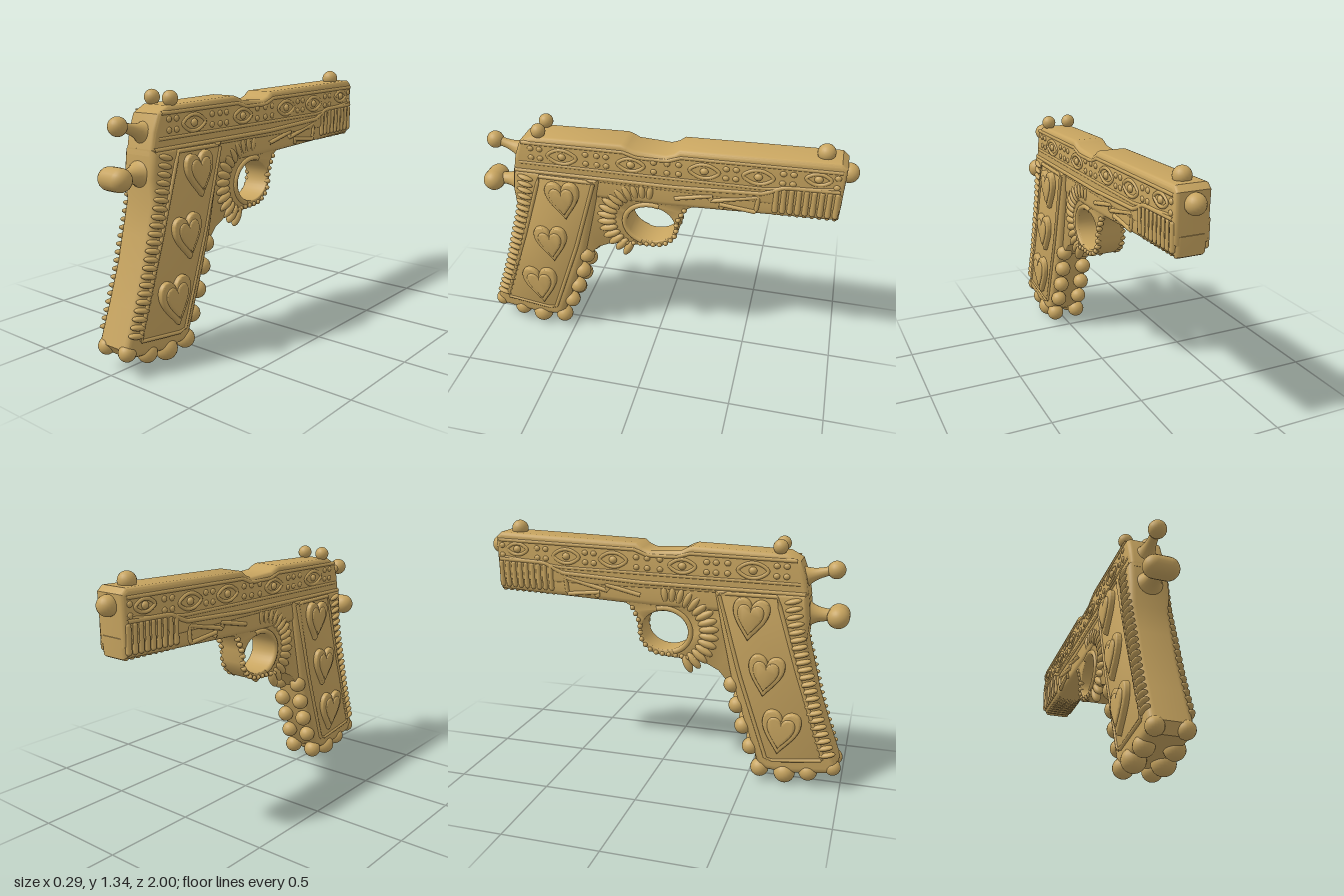
import * as THREE from 'three';
import { toCreasedNormals } from 'three/addons/utils/BufferGeometryUtils.js';

const material = new THREE.MeshStandardMaterial({ color: 0xc8a560 });
const V = (x, y, z) => new THREE.Vector3(x, y, z);
const SIDES = [1, -1];

export function createModel() {
  const model = new THREE.Group();
  const ball = new THREE.SphereGeometry(1, 20, 14);

  const add = (name, geometry, parent = model) => {
    const mesh = new THREE.Mesh(geometry, material);
    mesh.name = name;
    parent.add(mesh);
    return mesh;
  };
  const group = (name) => {
    const g = new THREE.Group();
    g.name = name;
    model.add(g);
    return g;
  };
  const blob = (name, x, y, z, rx, ry = rx, rz = rx, parent = model) => {
    const mesh = add(name, ball, parent);
    mesh.position.set(x, y, z);
    mesh.scale.set(rx, ry, rz);
    return mesh;
  };
  const makeShape = (pts) => new THREE.Shape(pts.map(([z, y]) => new THREE.Vector2(z, y)));

  // Side profile in (z, y), extruded symmetrically across x with rounded edges
  const plate = (name, shape, half, bevel, parent = model) => {
    const geometry = new THREE.ExtrudeGeometry(shape, {
      depth: 2 * (half - bevel), bevelEnabled: true, bevelThickness: bevel,
      bevelSize: bevel, bevelOffset: -bevel, bevelSegments: 4, curveSegments: 20,
    });
    geometry.translate(0, 0, -(half - bevel));
    geometry.rotateY(-Math.PI / 2);
    return add(name, toCreasedNormals(geometry, 0.7), parent);
  };
  // Raised line following (z, y) points on both flanks
  const line = (name, pts, x, radius, closed = false, smooth = false, parent = model) => {
    for (const s of SIDES) {
      const p = pts.map(([z, y]) => V(s * x, y, z));
      let curve;
      if (smooth) curve = new THREE.CatmullRomCurve3(p, closed);
      else {
        curve = new THREE.CurvePath();
        const n = closed ? p.length : p.length - 1;
        for (let i = 0; i < n; i++) curve.add(new THREE.LineCurve3(p[i], p[(i + 1) % p.length]));
      }
      add(name, new THREE.TubeGeometry(curve, 48, radius, 8, closed), parent);
    }
  };
  const splineAt = (pts, n) => new THREE.SplineCurve(pts.map(([z, y]) => new THREE.Vector2(z, y))).getSpacedPoints(n - 1);

  // Upper slide with the dip on top
  plate('slide', makeShape([
    [0.785, 1.02], [0.765, 1.13], [0.735, 1.21], [0.67, 1.245], [0.18, 1.26], [0.15, 1.25], [0.12, 1.234],
    [-0.05, 1.225], [-0.09, 1.24], [-0.12, 1.264], [-0.91, 1.286], [-0.94, 1.26], [-0.932, 1.02],
  ]), 0.09, 0.022);
  // Lower frame
  plate('frame', makeShape([
    [0.7, 1.07], [-0.9, 1.09], [-0.935, 1.06], [-0.93, 0.965], [-0.6, 0.95], [-0.2, 0.932], [-0.05, 0.925],
    [0.35, 0.92], [0.7, 0.92],
  ]), 0.084, 0.03);

  // Guard loop blending back into the grip
  const guard = makeShape([
    [-0.22, 0.95], [-0.17, 0.925], [-0.135, 0.89], [-0.12, 0.84], [-0.118, 0.77], [-0.09, 0.71], [-0.04, 0.67],
    [0.02, 0.655], [0.11, 0.65], [0.25, 0.64], [0.33, 0.6], [0.41, 0.51], [0.5, 0.5], [0.5, 1.0], [0, 1.0],
  ]);
  guard.holes.push(new THREE.Path().absellipse(0.03, 0.797, 0.13, 0.108, 0, Math.PI * 2, true));
  plate('guard', guard, 0.075, 0.006);

  // Petals fanned round the rear of the guard opening
  const petals = group('guardPetals');
  for (let i = 0; i < 15; i++) {
    const a = -1.1 + i * 0.2;
    for (const s of SIDES) {
      const petal = blob('petal', s * 0.068, 0.8 + Math.sin(a) * 0.2, 0.06 + Math.cos(a) * 0.215, 0.026, 0.022, 0.055, petals);
      petal.rotation.x = -a;
    }
  }
  const arc = (r, k) => Array.from({ length: 12 }, (_, i) => {
    const a = -1.2 + i * 0.28;
    return [0.03 + k + Math.cos(a) * r, 0.797 + Math.sin(a) * r * 0.85];
  });
  line('openingRim', arc(0.145, 0), 0.072, 0.015, false, true, petals);
  // Scalloped edge on the front and bottom of the guard
  for (const p of splineAt([[-0.15, 0.91], [-0.112, 0.83], [-0.1, 0.74], [-0.03, 0.675], [0.1, 0.663], [0.2, 0.655]], 15))
    for (const s of SIDES) blob('guardScallop', s * 0.07, p.y, p.x, 0.018, 0.014, 0.014, petals);

  // Grip body and side panels
  plate('grip', makeShape([
    [0.78, 1.05], [0.3, 1.05], [0.34, 0.85], [0.4, 0.58], [0.45, 0.42], [0.56, 0.1], [0.6, 0.07], [0.72, 0.06],
    [0.95, 0.09], [0.985, 0.14], [0.92, 0.32], [0.86, 0.5], [0.825, 0.64], [0.785, 0.8], [0.795, 0.92],
  ]), 0.105, 0.035);
  const panel = [[0.63, 1.03], [0.33, 1.03], [0.45, 0.6], [0.61, 0.13], [0.91, 0.17], [0.75, 0.64]];
  plate('gripPanel', makeShape(panel), 0.11, 0.008);
  line('gripPanelRim', panel, 0.106, 0.011, true);

  // Hearts in two stepped layers
  const heart = (size) => new THREE.Shape()
    .moveTo(0, 0.55 * size)
    .bezierCurveTo(0.1 * size, 1.0 * size, 0.8 * size, 1.05 * size, 0.8 * size, 0.42 * size)
    .bezierCurveTo(0.8 * size, -0.1 * size, 0.25 * size, -0.6 * size, 0, -1.0 * size)
    .bezierCurveTo(-0.25 * size, -0.6 * size, -0.8 * size, -0.1 * size, -0.8 * size, 0.42 * size)
    .bezierCurveTo(-0.8 * size, 1.05 * size, -0.1 * size, 1.0 * size, 0, 0.55 * size);
  const hearts = group('hearts');
  for (const [z, y, size] of [[0.5, 0.91, 0.118], [0.59, 0.615, 0.118], [0.68, 0.31, 0.128]]) {
    for (const [k, half] of [[1, 0.137], [0.72, 0.146]]) {
      const mesh = plate('heart', heart(size * k), half, 0.012, hearts);
      mesh.position.set(0, y, z);
      mesh.rotation.x = 0.1;
    }
  }

  // Ribs down the back corners of the grip
  const ribs = group('backRibs');
  for (const p of splineAt([[0.7, 1.01], [0.735, 0.8], [0.785, 0.62], [0.84, 0.42], [0.915, 0.2]], 22))
    for (const s of SIDES) {
      const rib = blob('backRib', s * 0.1, p.y, p.x + 0.01, 0.023, 0.015, 0.045, ribs);
      rib.rotation.x = -0.25;
    }

  // Beads on the front and foot of the grip
  const beads = group('gripBeads');
  for (const [z, y] of [[0.405, 0.53], [0.435, 0.415], [0.47, 0.3], [0.515, 0.185]])
    for (const s of SIDES) blob('frontBead', s * 0.065, y, z, 0.046, 0.046, 0.046, beads);
  for (const [z, y, r] of [[0.957, 0.12, 0.043], [0.83, 0.08, 0.05], [0.705, 0.06, 0.058], [0.57, 0.07, 0.05]])
    for (const s of SIDES) blob('footBead', s * 0.07, y, z, r, r, r, beads);

  // Flared stems with knobs at the rear
  const stem = (name, y, z, r, length, sx, tilt) => {
    const profile = [[1.9, 0], [1.25, 0.2], [0.85, 0.45], [0.7, 0.75], [0.75, 1]]
      .map(([a, b]) => new THREE.Vector2(a * r, b * length));
    const mesh = add(name, new THREE.LatheGeometry(new THREE.SplineCurve(profile).getPoints(12), 20));
    mesh.position.set(0, y, z);
    mesh.rotation.x = Math.PI / 2 - tilt;
    mesh.scale.x = sx;
  };
  stem('hammerStem', 1.12, 0.745, 0.034, 0.16, 1, 0.28);
  blob('hammerKnob', 0, 1.163, 0.905, 0.046);
  stem('tangStem', 0.93, 0.765, 0.045, 0.16, 1.1, 0);
  const tang = add('tangKnob', new THREE.CapsuleGeometry(0.057, 0.066, 8, 20));
  tang.rotation.z = Math.PI / 2;
  tang.position.set(0, 0.927, 0.93);

  // Sights and muzzle ball
  for (const s of SIDES) blob('rearSight', s * 0.06, 1.275, 0.63, 0.038);
  blob('frontSight', 0, 1.3, -0.83, 0.045);
  blob('muzzleBall', 0, 1.205, -0.95, 0.05);

  // Rails framing the slide flanks
  line('slideBottomRail', [[0.77, 1.045], [-0.1, 1.055], [-0.55, 1.08], [-0.65, 1.13], [-0.92, 1.14]], 0.085, 0.013);
  line('slideLowerBorder', [[0.74, 1.095], [0.2, 1.1], [-0.55, 1.11], [-0.92, 1.155]], 0.085, 0.01);
  line('slideUpperBorder', [[0.72, 1.212], [0.17, 1.222], [0.1, 1.2], [-0.06, 1.2], [-0.13, 1.228], [-0.92, 1.245]], 0.085, 0.011);

  // Eyes with small dots between them
  const eyes = group('eyes');
  for (const [z, y, w] of [[0.5, 1.153, 0.078], [0.13, 1.155, 0.07], [-0.25, 1.168, 0.075], [-0.52, 1.172, 0.075], [-0.81, 1.197, 0.06]]) {
    const h = w * 0.5;
    line('eyelid', [[z - w, y], [z - w / 2, y + h * 0.8], [z, y + h], [z + w / 2, y + h * 0.8],
      [z + w, y], [z + w / 2, y - h * 0.8], [z, y - h], [z - w / 2, y - h * 0.8]], 0.088, 0.01, true, true, eyes);
    for (const s of SIDES) blob('pupil', s * 0.087, y, z, 0.018, 0.02, 0.022, eyes);
  }
  for (const z of [0.67, 0.62, 0.37, 0.31, 0.26, 0.01, -0.06, -0.12, -0.36, -0.41, -0.64, -0.69, -0.9])
    for (const dy of [-0.026, 0.026])
      for (const s of SIDES) blob('dot', s * 0.088, 1.157 + dy - Math.min(0, z) * 0.035, z, 0.011, 0.015, 0.017, eyes);

  // Lightning bolt on the frame
  line('lightningBolt', [[-0.1, 0.985], [-0.3, 1.03], [-0.28, 0.995], [-0.53, 1.055], [-0.52, 0.965], [-0.33, 0.985], [-0.35, 0.96]], 0.083, 0.012);

  // Upright flutes below the muzzle, wrapping under the frame
  const flutes = group('muzzleFlutes');
  for (let i = 0; i < 9; i++) {
    const z = -0.615 - i * 0.037;
    for (const s of SIDES) {
      const flute = add('flute', new THREE.CapsuleGeometry(0.0155, 0.12, 4, 10), flutes);
      flute.position.set(s * 0.083, 1.05 + i * 0.001, z);
    }
    const under = add('underFlute', new THREE.CapsuleGeometry(0.014, 0.12, 4, 10), flutes);
    under.rotation.z = Math.PI / 2;
    under.position.set(0, 0.962 + i * 0.001, z);
  }
  return model;
}
